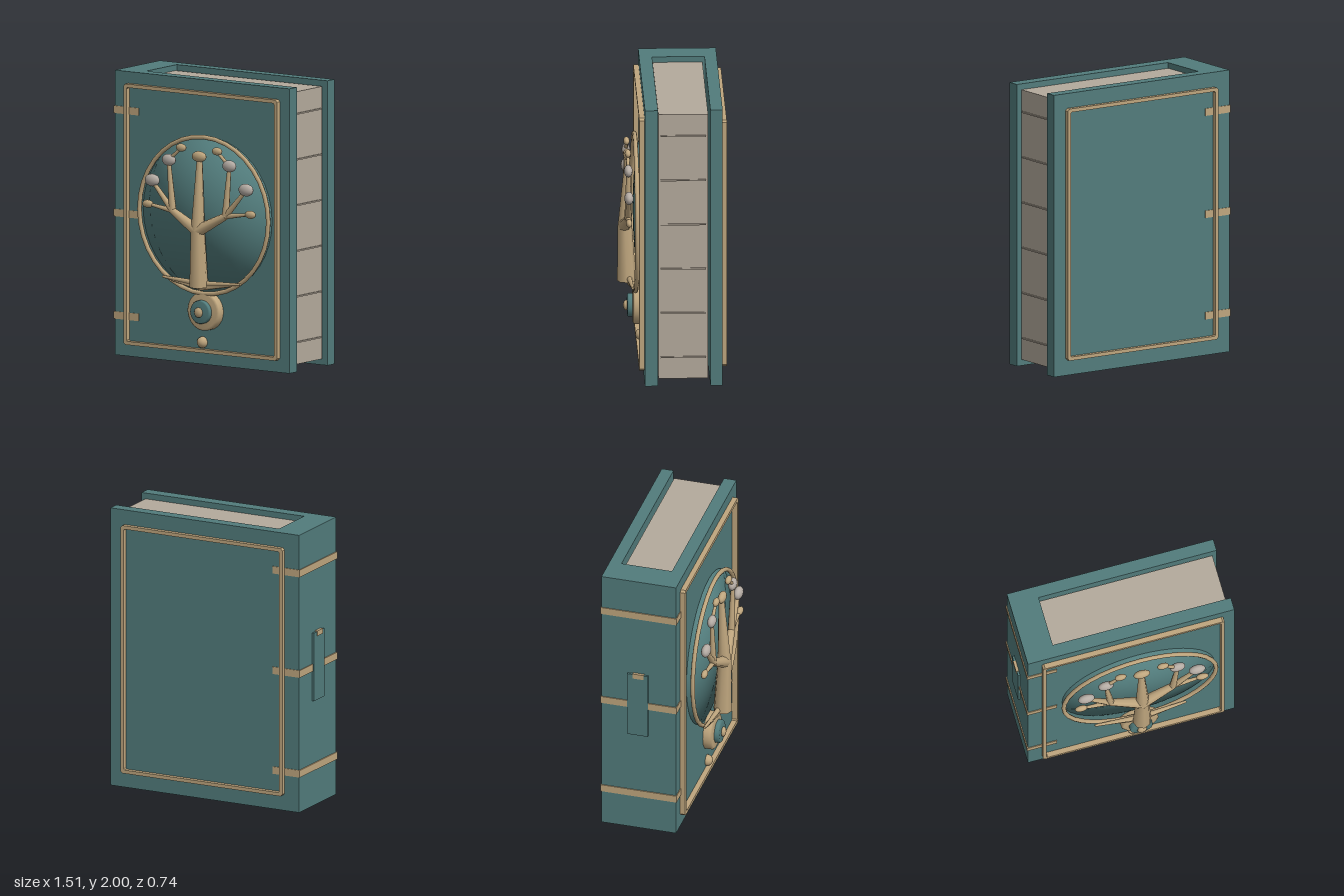
import * as THREE from 'three';

const mat = (name, color) => {
  const m = new THREE.MeshStandardMaterial({ color });
  m.name = name;
  return m;
};

export function createModel() {
  const teal = mat('teal leather', 0x527c7c);
  const brass = mat('pale brass', 0xbfa67e);
  const paper = mat('paper', 0xb4aa9c);
  const pearl = mat('pearl', 0xb5aca4);
  const model = new THREE.Group();
  model.name = 'book';

  const add = (name, geometry, material, x = 0, y = 0, z = 0, parent = model) => {
    const mesh = new THREE.Mesh(geometry, material);
    mesh.name = name;
    mesh.position.set(x, y, z);
    parent.add(mesh);
    return mesh;
  };
  // Box given by its lower and upper corners
  const box = (name, material, [x0, y0, z0], [x1, y1, z1]) =>
    add(name, new THREE.BoxGeometry(x1 - x0, y1 - y0, z1 - z0), material,
      (x0 + x1) / 2, (y0 + y1) / 2, (z0 + z1) / 2);

  // Cover: a U-shaped plan (x, -z) raised to full height
  const plan = [[-0.735, -0.2], [0.755, -0.2], [0.755, -0.11], [-0.53, -0.11],
    [-0.53, 0.255], [0.755, 0.255], [0.755, 0.34], [-0.735, 0.34]];
  const cover = new THREE.ExtrudeGeometry(
    new THREE.Shape(plan.map(p => new THREE.Vector2(...p))), { depth: 2, bevelEnabled: false });
  cover.rotateX(-Math.PI / 2);
  add('cover', cover, teal);

  // Page block with ridges along the fore edge
  box('pages', paper, [-0.54, 0.045, -0.24], [0.72, 1.96, 0.105]);
  for (let i = 0; i < 6; i++) {
    const y = 0.2 + i * 0.321;
    box('pageRidge', paper, [0.71, y - 0.005, -0.225], [0.73, y + 0.005, 0.09]);
  }

  // Bands wrapping the spine
  for (const y of [0.28, 1.0, 1.725]) {
    box('spineBand', brass, [-0.742, y - 0.026, -0.345], [-0.527, y + 0.026, 0.205]);
  }

  // Spine clasp
  box('spineClasp', teal, [-0.75, 0.76, -0.15], [-0.73, 1.25, 0]);
  box('claspTip', brass, [-0.755, 1.22, -0.11], [-0.735, 1.257, -0.03]);

  // Raised rectangular frames with clipped corners
  const clippedRect = (Type, x0, y0, x1, y1, c) => new Type([
    [x0 + c, y0], [x1 - c, y0], [x1, y0 + c], [x1, y1 - c],
    [x1 - c, y1], [x0 + c, y1], [x0, y1 - c], [x0, y0 + c],
  ].map(p => new THREE.Vector2(...p)));
  const frame = (name, x0, y0, x1, y1, z) => {
    const w = 0.025;
    const shape = clippedRect(THREE.Shape, x0, y0, x1, y1, 0.015);
    shape.holes.push(clippedRect(THREE.Path, x0 + w, y0 + w, x1 - w, y1 - w, 0.008));
    add(name, new THREE.ExtrudeGeometry(shape, { depth: 0.045, bevelEnabled: false }), brass, 0, 0, z);
  };
  frame('frontFrame', -0.635, 0.085, 0.675, 1.918, 0.192);
  frame('backFrame', -0.62, 0.108, 0.66, 1.895, -0.372);

  // Shallow dome: flattened cap that keeps its rounder normals for soft shading
  const cap = new THREE.SphereGeometry(1, 40, 16, 0, Math.PI * 2, 0, 1.2);
  cap.rotateX(Math.PI / 2);
  const p = cap.attributes.position;
  const rim = Math.sin(1.2), base = Math.cos(1.2);
  for (let i = 0; i < p.count; i++) {
    p.setXYZ(i, p.getX(i) / rim * 0.55, p.getY(i) / rim * 0.55,
      (p.getZ(i) - base) / (1 - base) * 0.058);
  }
  add('dome', cap, teal, 0.06, 1.055, 0.203);
  add('domeRing', new THREE.TorusGeometry(0.55, 0.016, 8, 36), brass, 0.06, 1.055, 0.248);

  // Tree emblem, mirrored about its own centre line
  const tree = new THREE.Group();
  tree.name = 'tree';
  tree.position.x = 0.058;
  model.add(tree);
  const up = new THREE.Vector3(0, 1, 0);
  const limb = (name, from, to, r0, r1, sides = 8) => {
    const a = new THREE.Vector3(...from), b = new THREE.Vector3(...to);
    const dir = b.clone().sub(a);
    const mid = a.add(b).multiplyScalar(0.5);
    const mesh = add(name, new THREE.CylinderGeometry(r1, r0, dir.length(), sides), brass,
      mid.x, mid.y, mid.z, tree);
    mesh.quaternion.setFromUnitVectors(up, dir.normalize());
    return mesh;
  };
  const bud = (name, material, x, y, rx, ry, rz) =>
    add(name, new THREE.SphereGeometry(1, 14, 10), material, x, y, 0.302, tree).scale.set(rx, ry, rz);

  limb('trunk', [0, 0.56, 0.305], [0, 0.96, 0.318], 0.066, 0.05);
  limb('centreBranch', [0, 0.94, 0.318], [0, 1.47, 0.295], 0.05, 0.02);
  bud('topBud', brass, 0, 1.475, 0.06, 0.038, 0.028);
  for (const s of [-1, 1]) {
    const fork = [s * 0.225, 1.075, 0.302];
    limb('mainBranch', [0, 0.955, 0.322], fork, 0.045, 0.026);
    limb('outerBranch', fork, [s * 0.385, 1.255, 0.302], 0.024, 0.014);
    limb('innerBranch', fork, [s * 0.258, 1.42, 0.302], 0.026, 0.014);
    limb('lowTwig', fork, [s * 0.43, 1.105, 0.302], 0.02, 0.01);
    limb('highTwig', [s * 0.258, 1.43, 0.302], [s * 0.155, 1.52, 0.302], 0.015, 0.01);
    bud('outerPearl', pearl, s * 0.4, 1.275, 0.06, 0.044, 0.032);
    bud('innerPearl', pearl, s * 0.258, 1.43, 0.056, 0.042, 0.03);
    bud('lowBud', brass, s * 0.437, 1.105, 0.045, 0.028, 0.022);
    bud('highBud', brass, s * 0.153, 1.525, 0.042, 0.028, 0.022);
    limb('upperRoot', [0, 0.58, 0.29], [s * 0.33, 0.6, 0.272], 0.022, 0.009);
    limb('lowerRoot', [0, 0.552, 0.29], [s * 0.25, 0.585, 0.275], 0.02, 0.009);
  }

  // Lathed disc facing forward, from [radius, height] points
  const disc = (name, material, points, x, y, z, sides = 28) => {
    const g = new THREE.LatheGeometry(points.map(q => new THREE.Vector2(...q)), sides);
    g.rotateX(Math.PI / 2);
    return add(name, g, material, x, y, z);
  };
  disc('medallion', brass, [[0.135, 0], [0.135, 0.052], [0.12, 0.064], [0, 0.069]], 0.058, 0.38, 0.199);
  disc('medallionKnob', teal, [[0.082, 0], [0.082, 0.026], [0.076, 0.036], [0, 0.038]], 0.058, 0.38, 0.266);
  add('knobBead', new THREE.SphereGeometry(0.036, 8, 6), brass, 0.058, 0.38, 0.311).scale.z = 0.55;
  add('lowerStud', new THREE.SphereGeometry(0.04, 14, 10), brass, 0.018, 0.155, 0.205);

  return model;
}
